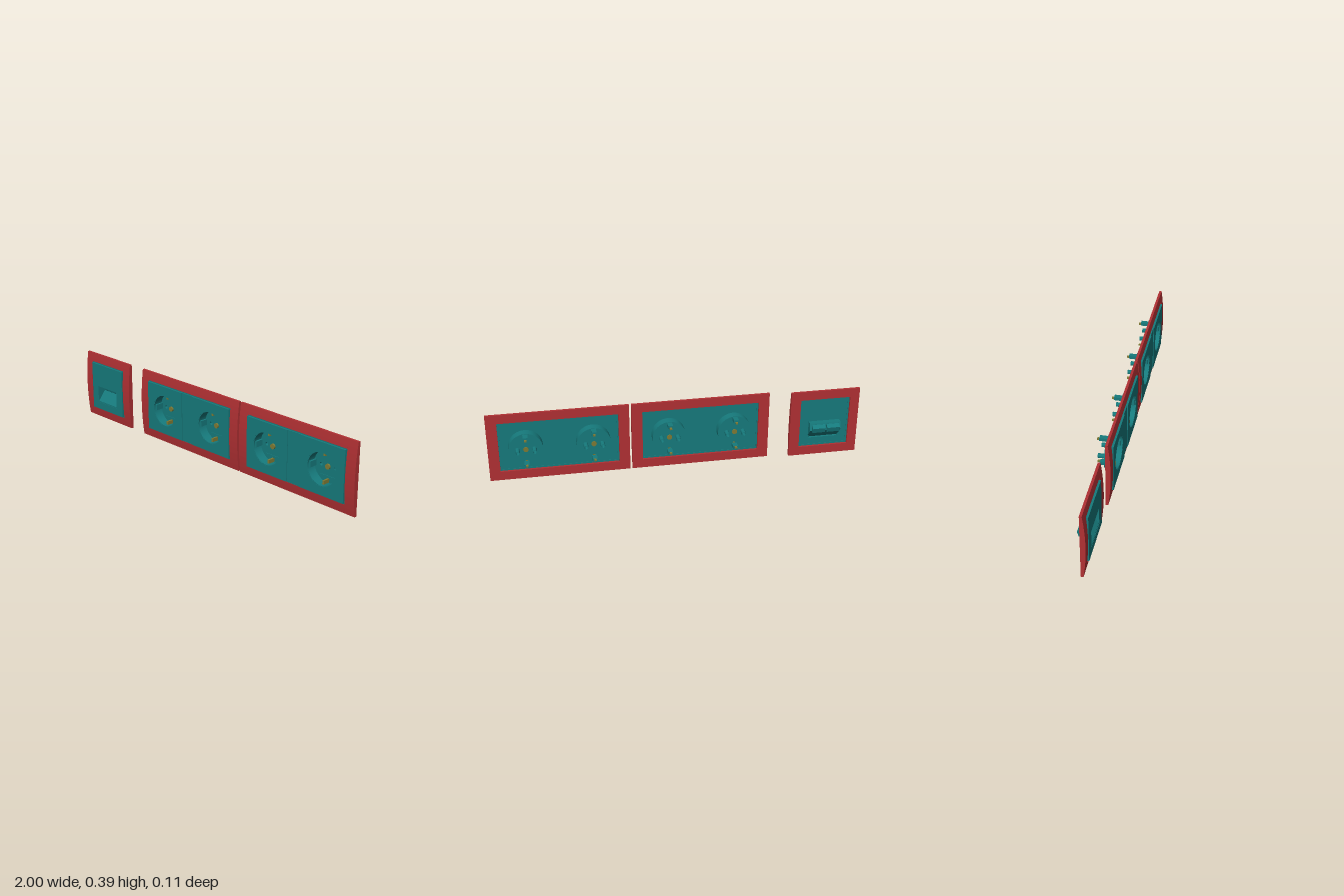
import * as THREE from 'three';
import { toCreasedNormals } from 'three/addons/utils/BufferGeometryUtils.js';

const red = new THREE.MeshStandardMaterial({ color: 0xb03033 });
const teal = new THREE.MeshStandardMaterial({ color: 0x167a7c });
const brass = new THREE.MeshStandardMaterial({ color: 0x7f7a35 });

const CY = 0.197;          // height of the frame centre
const HALF = 0.191;        // half height of a frame
const OPEN = 0.142;        // half height of its opening
const BACK = 0.028;        // rear face of a frame
const FACE = 0.057;        // front face of a plate

function add(parent, name, geometry, material) {
  const mesh = new THREE.Mesh(geometry, material);
  mesh.name = name;
  parent.add(mesh);
  return mesh;
}

function box(parent, name, material, x0, x1, y0, y1, z0, z1) {
  const g = new THREE.BoxGeometry(x1 - x0, y1 - y0, z1 - z0);
  g.translate((x0 + x1) / 2, (y0 + y1) / 2, (z0 + z1) / 2);
  return add(parent, name, g, material);
}

// Side profile of [z, y] points, extruded from x0 to x1
function sideProfile(points, x0, x1) {
  const shape = new THREE.Shape(points.map(([z, y]) => new THREE.Vector2(-z, y)));
  const g = new THREE.ExtrudeGeometry(shape, { depth: x1 - x0, bevelEnabled: false });
  return g.rotateY(Math.PI / 2).translate(x0, 0, 0);
}

function rectPoints(x0, x1, y0, y1) {
  return [[x0, y0], [x1, y0], [x1, y1], [x0, y1]].map(p => new THREE.Vector2(...p));
}

function circleHole(x, y, r) {
  return new THREE.Path().absarc(x, y, r, 0, Math.PI * 2, true);
}

function slab(shape, z0, z1) {
  return new THREE.ExtrudeGeometry(shape, { depth: z1 - z0, bevelEnabled: false, curveSegments: 32 })
    .translate(0, 0, z0);
}

// Ring or tube along z
function tube(rIn, rOut, z0, z1) {
  const p = [[rIn, z1], [rIn, z0], [rOut, z0], [rOut, z1], [rIn, z1]].map(v => new THREE.Vector2(...v));
  return toCreasedNormals(new THREE.LatheGeometry(p, 40).rotateX(Math.PI / 2), 0.6);
}

// Frame bar whose front bulges with height
function bar(parent, name, x0, x1, y0, y1) {
  const points = [[BACK, y1], [BACK, y0]];
  const n = 12;
  for (let i = 0; i <= n; i++) {
    const y = y0 + (y1 - y0) * i / n;
    points.push([0.055 - 0.014 * ((y - CY) / HALF) ** 2, y]);
  }
  add(parent, name, sideProfile(points, x0, x1), red);
}

function frame(parent, x0, x1, in0, in1) {
  const g = new THREE.Group();
  g.name = 'frame';
  bar(g, 'frameSide', x0, in0, CY - HALF, CY + HALF);
  bar(g, 'frameSide', in1, x1, CY - HALF, CY + HALF);
  bar(g, 'frameTop', in0, in1, CY + OPEN, CY + HALF);
  bar(g, 'frameBottom', in0, in1, CY - HALF, CY - OPEN);
  // Stepped lip between frame and plates
  const lip = new THREE.Shape(rectPoints(in0, in1, CY - OPEN, CY + OPEN));
  lip.holes.push(new THREE.Path(rectPoints(in0 + 0.008, in1 - 0.008, CY - OPEN + 0.008, CY + OPEN - 0.008)));
  add(g, 'plateLip', slab(lip, 0.04, 0.046), teal);
  parent.add(g);
}

function plate(parent, x0, x1, hole) {
  const shape = new THREE.Shape(rectPoints(x0, x1, CY - OPEN + 0.005, CY + OPEN - 0.005));
  shape.holes.push(hole);
  add(parent, 'plate', slab(shape, 0.042, FACE), teal);
}

// Round recessed outlet centred on its own origin
function socket(parent, x) {
  const g = new THREE.Group();
  g.name = 'socket';
  g.position.set(x, 0.195, 0);
  add(g, 'cupWall', tube(0.086, 0.09, -0.003, FACE - 0.001), teal);

  const floor = new THREE.Shape().absarc(0, 0, 0.088, 0, Math.PI * 2, false);
  for (const s of [-1, 1]) {
    floor.holes.push(circleHole(s * 0.044, 0, 0.009));
    floor.holes.push(new THREE.Path(rectPoints(-0.009, 0.009, s * 0.074 - 0.011, s * 0.074 + 0.011)));
  }
  add(g, 'cupFloor', slab(floor, -0.003, 0.005), teal);
  box(g, 'floorRidge', teal, -0.047, 0.047, -0.053, -0.049, 0.004, 0.008);

  const screw = add(g, 'screw', new THREE.CylinderGeometry(0.014, 0.014, 0.022, 20), brass);
  screw.rotation.x = Math.PI / 2;
  screw.position.z = 0.003;

  for (const s of [-1, 1]) {
    // Guide rails and pin sleeves
    const gx = s * 0.081;
    box(g, 'guideRail', teal, gx - 0.007, gx + 0.007, -0.016, 0.016, 0, FACE - 0.008);
    add(g, 'pinSleeve', tube(0.009, 0.012, -0.043, 0), teal).position.x = s * 0.044;
    // Earth clip and its rear housing
    const cy = s * 0.078;
    box(g, 'clipHousing', teal, -0.013, 0.013, cy - 0.009, cy + 0.009, -0.043, -0.002);
    box(g, 'clipTip', brass, -0.006, 0.006, s * 0.073 - 0.004, s * 0.073 + 0.004, -0.056, -0.042);
    box(g, 'earthClip', brass, -0.005, 0.005, s * 0.074 - 0.01, s * 0.074 + 0.01, -0.002, 0.04);
  }
  parent.add(g);
}

function doubleOutlet(parent, x0, x1, centres) {
  const g = new THREE.Group();
  g.name = 'doubleOutlet';
  const in0 = x0 + 0.057, in1 = x1 - 0.057;
  frame(g, x0, x1, in0, in1);
  for (const c of centres) {
    plate(g, c - 0.136, c + 0.136, circleHole(c, 0.195, 0.089));
    socket(g, c);
  }
  box(g, 'centreStrip', teal, centres[0] + 0.136, centres[1] - 0.136,
    CY - OPEN + 0.005, CY + OPEN - 0.005, 0.042, 0.053);
  parent.add(g);
}

function dataOutlet(parent) {
  const g = new THREE.Group();
  g.name = 'dataOutlet';
  g.position.set(0, -0.006, -0.008);
  frame(g, -1, -0.62, -0.95, -0.675);
  const a = -0.896, b = -0.732, w = 0.004;
  plate(g, -0.945, -0.68, new THREE.Path(rectPoints(a, b, 0.102, 0.202)));

  // Hollow hood: sloped panel, tilted jack wall, ceiling and cheeks
  const shell = [[0.055, 0.102], [0.004, 0.162], [0.016, 0.202], [0.055, 0.202],
    [0.055, 0.198], [0.019, 0.198], [0.009, 0.164], [0.055, 0.108]];
  add(g, 'jackHood', sideProfile(shell, a, b), teal);
  const cheek = shell.slice(0, 4);
  add(g, 'hoodCheek', sideProfile(cheek, a - w, a), teal);
  add(g, 'hoodCheek', sideProfile(cheek, b, b + w), teal);

  // Two jacks side by side
  const jack = [[0.02, 0.192], [0.013, 0.166], [-0.005, 0.154], [-0.013, 0.182], [0.008, 0.196]];
  const mid = (a + b) / 2;
  for (const [x0, x1] of [[a + 0.006, mid - 0.005], [mid + 0.005, b - 0.006]]) {
    add(g, 'jack', sideProfile(jack, x0, x1), teal);
  }
  parent.add(g);
}

export function createModel() {
  const model = new THREE.Group();
  model.name = 'wallOutlets';
  dataOutlet(model);
  doubleOutlet(model, -0.5, 0.244, [-0.305, 0.048]);
  doubleOutlet(model, 0.256, 1, [0.449, 0.803]);
  return model;
}
